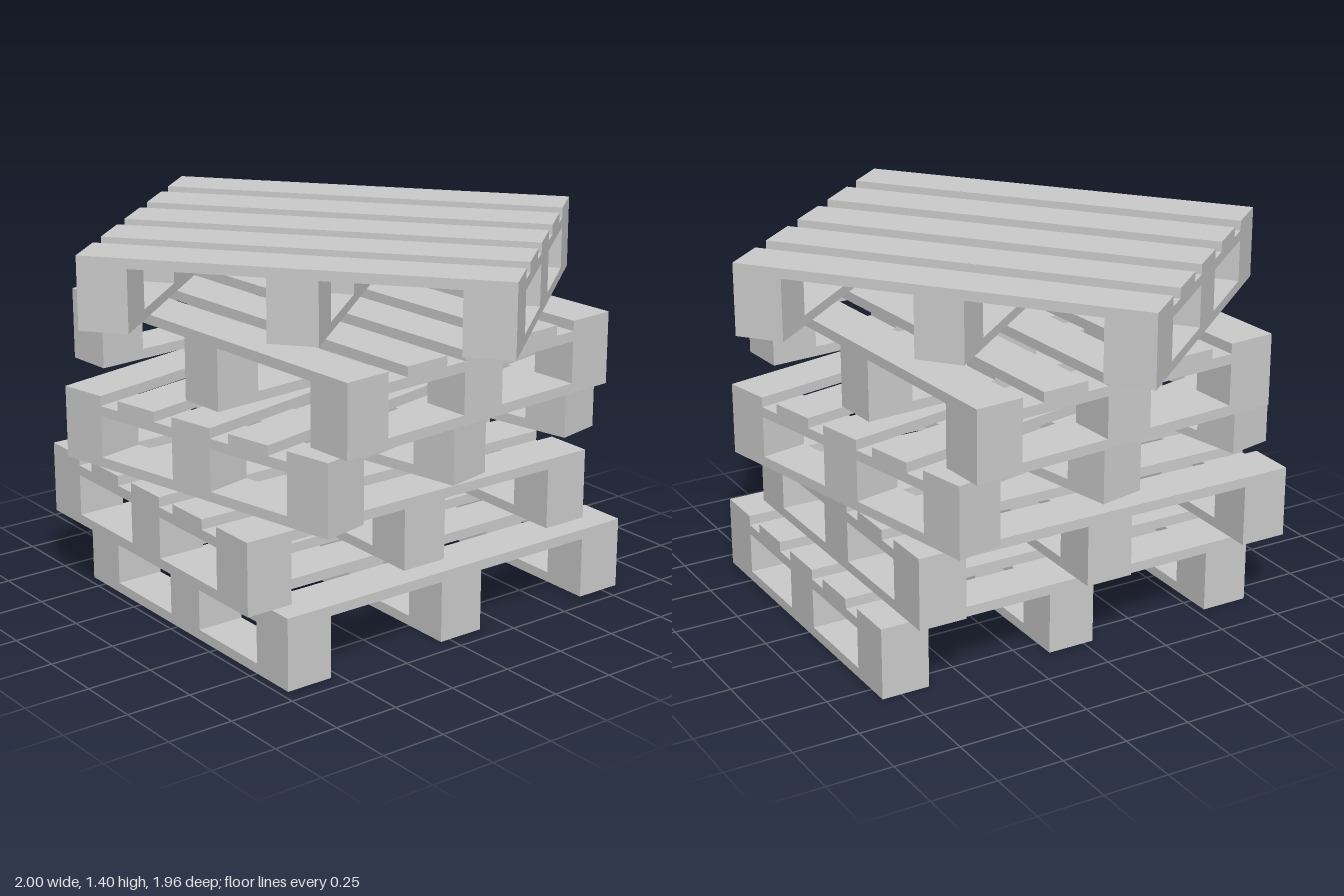
import * as THREE from 'three';

const WIDTH = 1.267, LENGTH = 1.543, BOARD = 0.184, THICK = 0.038, HEIGHT = 0.272;
const material = new THREE.MeshStandardMaterial({ color: 0xcccccc, flatShading: true });

// Box with its underside at y
function addBox(parent, name, w, h, d, x, y, z) {
  const mesh = new THREE.Mesh(new THREE.BoxGeometry(w, h, d), material);
  mesh.name = name;
  mesh.position.set(x, y + h / 2, z);
  parent.add(mesh);
}

function createPallet() {
  const pallet = new THREE.Group();
  const sideX = (WIDTH - BOARD) / 2, endZ = (LENGTH - BOARD) / 2;
  const blockHeight = HEIGHT - 3 * THICK;

  // Three runners across the width: bottom board, three blocks, cross board
  for (const row of [-1, 0, 1]) {
    const z = row * endZ;
    addBox(pallet, 'bottomBoard', WIDTH, THICK, BOARD, 0, 0, z);
    for (const col of [-1, 0, 1]) {
      addBox(pallet, 'block', BOARD, blockHeight, BOARD, col * sideX, THICK, z);
    }
    addBox(pallet, 'crossBoard', WIDTH, THICK, BOARD, 0, HEIGHT - 2 * THICK, z);
  }

  // Five deck boards along the length
  for (let i = -2; i <= 2; i++) {
    addBox(pallet, 'deckBoard', BOARD, THICK, LENGTH, (i * sideX) / 2, HEIGHT - THICK, 0);
  }
  return pallet;
}

export function createModel() {
  const model = new THREE.Group();
  model.name = 'palletStack';

  // Position and turn in degrees of each pallet, from the ground up
  const layers = [
    { x: 0.05, y: 0, z: -0.053, turn: 0 },
    { x: -0.033, y: 0.276, z: 0.053, turn: 0 },
    { x: 0, y: 0.567, z: -0.002, turn: 12.1 },
    { x: 0, y: 0.845, z: -0.004, turn: 94.4 },
    { x: 0, y: 1.129, z: 0, turn: -50.3 },
  ];
  layers.forEach(({ x, y, z, turn }, i) => {
    const pallet = createPallet();
    pallet.name = `pallet${i + 1}`;
    pallet.position.set(x, y, z);
    pallet.rotation.y = THREE.MathUtils.degToRad(turn);
    model.add(pallet);
  });
  return model;
}
